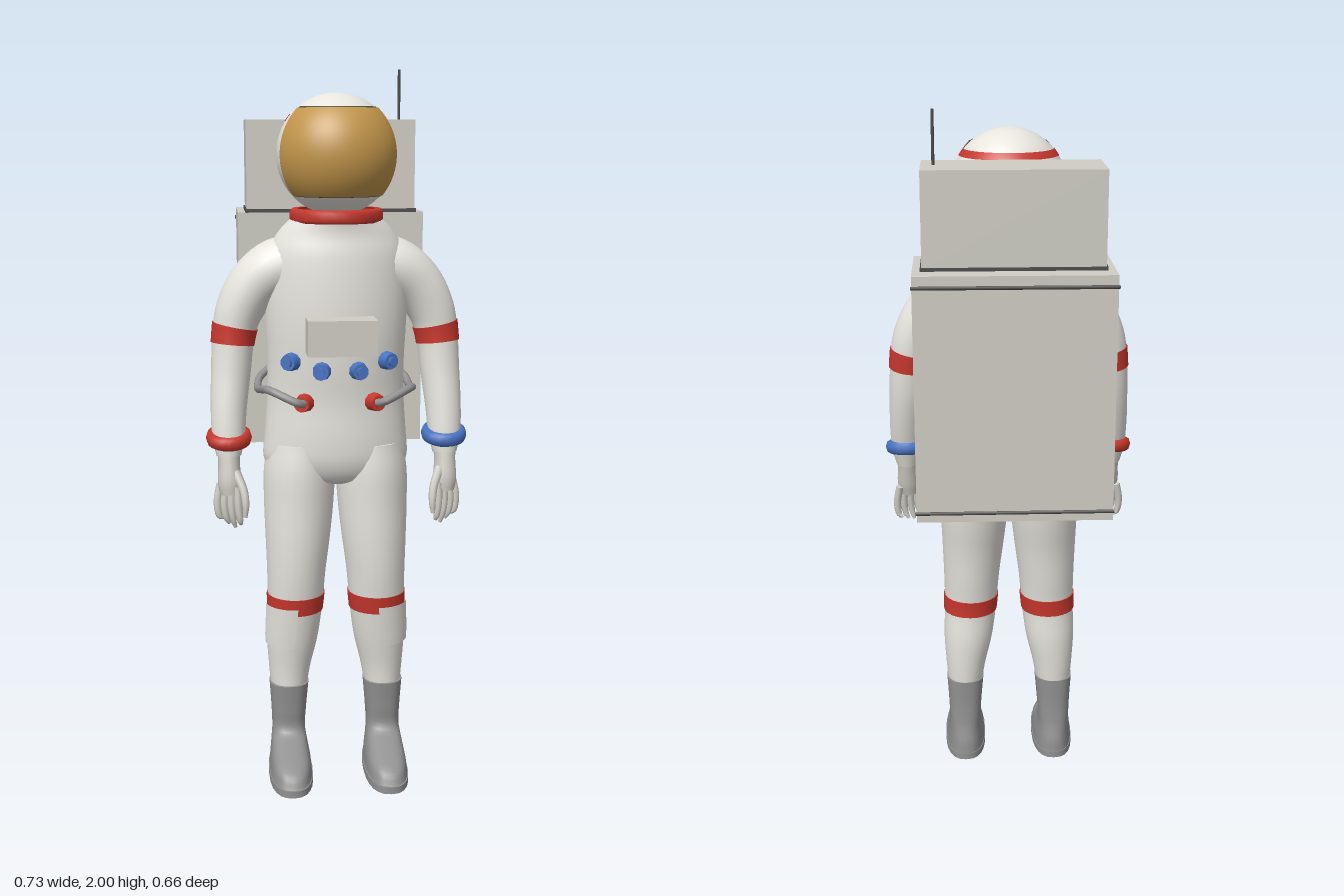
import * as THREE from 'three';

const mat = (name, color) => {
  const m = new THREE.MeshStandardMaterial({ color });
  m.name = name;
  return m;
};

// Smooth skin over elliptical sections [x, y, z, radiusX, radiusZ], listed from top to bottom.
// from/to pick a range of heights, a0/a1 a range of angles, grow swells it outwards.
function loft(sections, o = {}) {
  const { steps = 24, sides = 24, grow = 0, flat = false, pow = 1, a0 = 0, a1 = Math.PI * 2, from, to } = o;
  const path = new THREE.CatmullRomCurve3(sections.map(s => new THREE.Vector3(s[0], s[1], s[2])));
  path.curveType = 'catmullrom';
  const radii = new THREE.CatmullRomCurve3(sections.map(s => new THREE.Vector3(s[3], s[4], 0)));
  radii.curveType = 'catmullrom';
  const atHeight = y => {
    let lo = 0, hi = 1;
    for (let i = 0; i < 30; i++) {
      const mid = (lo + hi) / 2;
      if (path.getPoint(mid).y > y) lo = mid; else hi = mid;
    }
    return lo;
  };
  const t0 = from === undefined ? 0 : atHeight(from), t1 = to === undefined ? 1 : atHeight(to);
  const full = a1 - a0 > 6.28, cols = full ? sides : sides + 1;
  const pos = [], index = [];
  const soft = v => Math.sign(v) * Math.abs(v) ** pow;
  for (let i = 0; i <= steps; i++) {
    const t = t0 + (t1 - t0) * i / steps;
    const c = path.getPoint(t), r = radii.getPoint(t);
    const dir = flat ? new THREE.Vector3(0, -1, 0) : path.getTangent(t);
    const u = new THREE.Vector3(0, 0, 1).cross(dir).normalize(), v = dir.clone().cross(u);
    for (let j = 0; j < cols; j++) {
      const a = a0 + (a1 - a0) * j / sides;
      const p = c.clone().addScaledVector(u, soft(Math.cos(a)) * (r.x + grow))
        .addScaledVector(v, soft(Math.sin(a)) * (r.y + grow));
      pos.push(p.x, p.y, p.z);
    }
  }
  for (let i = 0; i < steps; i++) for (let j = 0; j < sides; j++) {
    const k = (j + 1) % cols, a = i * cols + j, b = i * cols + k;
    index.push(a, b, a + cols, b, b + cols, a + cols);
  }
  // End caps with their own vertices, so the rims stay sharp
  if (full) for (const [row, t] of [[0, t0], [steps, t1]]) {
    const base = pos.length / 3, c = path.getPoint(t);
    pos.push(...pos.slice(row * cols * 3, (row + 1) * cols * 3), c.x, c.y, c.z);
    for (let j = 0; j < cols; j++) {
      const k = (j + 1) % cols;
      index.push(base + cols, base + (row ? j : k), base + (row ? k : j));
    }
  }
  const g = new THREE.BufferGeometry();
  g.setAttribute('position', new THREE.Float32BufferAttribute(pos, 3));
  g.setIndex(index);
  g.computeVertexNormals();
  return g;
}

export function createModel() {
  const suit = mat('suit white', 0xebe9e2), pale = mat('pale grey', 0xcfcdc4), red = mat('red', 0xc8382e),
    blue = mat('blue', 0x4a74c4), gold = mat('visor gold', 0xc2954a), grey = mat('boot grey', 0x929292),
    dark = mat('dark grey', 0x4c4c4c);
  gold.side = dark.side = red.side = THREE.DoubleSide;
  const root = new THREE.Group();
  root.name = 'astronaut';
  const add = (name, geo, m, x = 0, y = 0, z = 0) => {
    const mesh = new THREE.Mesh(geo, m);
    mesh.name = name;
    mesh.position.set(x, y, z);
    root.add(mesh);
    return mesh;
  };
  const box = (name, m, x0, x1, y0, y1, z0, z1) => add(name, new THREE.BoxGeometry(x1 - x0, y1 - y0, z1 - z0), m,
    (x0 + x1) / 2, (y0 + y1) / 2, (z0 + z1) / 2);

  // Torso
  add('torso', loft([
    [0, 1.61, .11, .112, .112], [0, 1.56, .1, .16, .118], [0, 1.5, .098, .188, .13], [0, 1.4, .095, .198, .139],
    [0, 1.3, .095, .195, .139], [0, 1.2, .09, .191, .136], [0, 1.1, .085, .193, .13], [0, 1, .085, .2, .13],
    [0, .93, .083, .203, .125], [0, .88, .083, .17, .1], [0, .86, .083, .1, .06]],
  { flat: true, steps: 40, sides: 36 }), suit);

  // Helmet, visor, stripe and neck ring
  const rad = THREE.MathUtils.degToRad;
  const patch = (r, mid, half, top, bottom) => new THREE.SphereGeometry(r, 40, 24,
    rad(mid - half), rad(half * 2), rad(top), rad(bottom - top));
  const head = [0, 1.768, .107];
  add('helmet', new THREE.SphereGeometry(.162, 40, 28), suit, ...head);
  add('visorFrame', patch(.1655, 90, 69, 41, 131.5), dark, ...head);
  add('visor', patch(.168, 90, 68, 43.5, 130), gold, ...head);
  add('helmetStripe', patch(.1635, 270, 95, 50, 58), red, ...head);
  add('neckRing', new THREE.LatheGeometry([[.105, -.018], [.121, -.018], [.127, -.01], [.127, .01], [.121, .018],
    [.105, .018]].map(p => new THREE.Vector2(...p)), 32), red, 0, 1.607, .11);

  // Backpack
  box('packBody', pale, -.263, .263, .94, 1.605, -.325, -.052);
  box('packTop', pale, -.238, .238, 1.61, 1.86, -.26, -.053);
  box('packSeam', dark, -.242, .242, 1.604, 1.614, -.263, -.05);
  for (const y of [1.575, .965])
    add('packBar', new THREE.CylinderGeometry(.005, .005, .532, 8).rotateZ(Math.PI / 2), dark, 0, y, -.326);
  add('antenna', new THREE.CylinderGeometry(.004, .004, .14, 8), dark, .205, 1.93, -.157);

  // Chest box
  box('chestBox', pale, -.093, .091, 1.25, 1.345, .215, .313);

  // Connectors around the chest
  const knob = (name, m, x, y, z) => {
    const k = add(name, new THREE.CylinderGeometry(.022, .028, .045, 10).rotateX(Math.PI / 2), m, x, y, z);
    k.rotation.y = x * 4;
    const cap = new THREE.Mesh(new THREE.CylinderGeometry(.013, .013, .012, 8).rotateX(Math.PI / 2), m);
    cap.name = name + 'Cap';
    cap.position.z = .026;
    k.add(cap);
  };

  for (const s of [1, -1]) {
    const side = s > 0 ? 'left' : 'right';
    const mirror = list => list.map(([x, ...rest]) => [x * s, ...rest]);

    knob(side + 'OuterConnector', blue, s * .13, 1.22, .198);
    knob(side + 'InnerConnector', blue, s * .05, 1.197, .225);
    knob(side + 'HoseConnector', red, s * .097, 1.107, .207);
    const hose = new THREE.CatmullRomCurve3(mirror([[.1, 1.11, .235], [.115, 1.115, .25], [.19, 1.145, .215],
      [.21, 1.13, .12], [.216, 1.12, .03], [.208, 1.14, -.02], [.165, 1.17, -.06]])
      .map(p => new THREE.Vector3(...p)));
    add(side + 'Hose', new THREE.TubeGeometry(hose, 28, .011, 8), grey);

    // Arm with band and cuff
    const arm = mirror([[.09, 1.48, .09, .08, .09], [.165, 1.462, .09, .08, .088], [.225, 1.415, .088, .074, .078],
      [.265, 1.35, .088, .066, .07], [.283, 1.28, .09, .059, .064], [.292, 1.18, .1, .055, .06],
      [.3, 1.08, .12, .05, .053], [.302, 1, .137, .045, .045], [.302, .95, .145, .034, .038]]);
    add(side + 'Arm', loft(arm, { steps: 36 }), suit);
    add(side + 'ArmBand', loft(arm, { from: 1.305, to: 1.255, grow: .003, steps: 4 }), red);
    const cuff = add(side + 'Cuff', new THREE.TorusGeometry(.049, .015, 8, 20).scale(1, 1, 1.4).rotateX(Math.PI / 2),
      s > 0 ? blue : red, s * .301, 1, .135);
    cuff.rotation.x = .22;

    // Glove
    add(side + 'Palm', loft(mirror([[.302, .985, .14, .034, .034], [.302, .93, .152, .03, .036],
      [.301, .88, .163, .033, .036], [.299, .845, .168, .028, .03]]), { steps: 12, sides: 16 }), pale);
    for (let i = 0; i < 4; i++) {
      const x = .279 + i * .016, z = .188 - i * .016, tip = .75 + Math.abs(i - 1.2) * .012;
      add(side + 'Finger', loft(mirror([[x, .87, z, .011, .011], [x + i * .003, .82, z + .006, .011, .011],
        [x + i * .003 - .004, .78, z + .008, .009, .009], [x - .008, tip, z + .004, .005, .005]]),
      { steps: 10, sides: 8 }), pale);
    }
    add(side + 'Thumb', loft(mirror([[.285, .91, .175, .014, .014], [.265, .865, .198, .012, .012],
      [.259, .825, .212, .01, .01], [.261, .79, .215, .006, .006]]), { steps: 10, sides: 8 }), pale);

    // Leg with knee band and outer pad
    const leg = mirror([[.098, .98, .083, .09, .115], [.102, .9, .083, .101, .123], [.105, .8, .09, .099, .115],
      [.109, .7, .1, .092, .104], [.114, .6, .104, .084, .094], [.118, .5, .104, .079, .081],
      [.126, .4, .095, .074, .075], [.134, .31, .09, .061, .065], [.137, .24, .09, .052, .059]]);
    add(side + 'Leg', loft(leg, { steps: 36, flat: true }), suit);
    add(side + 'KneeBand', loft(leg, { from: .535, to: .485, grow: .003, steps: 4, flat: true }), red);
    const [a, b] = [rad(10), rad(92)];
    add(side + 'ShinPad', loft(leg, { from: .507, to: .385, grow: .007, steps: 8, sides: 10, flat: true,
      a0: s > 0 ? a : Math.PI - b, a1: s > 0 ? b : Math.PI - a }), suit);

    // Boot and sole
    add(side + 'Boot', loft(mirror([[.137, .26, .092, .057, .063], [.138, .18, .089, .051, .058],
      [.139, .12, .088, .048, .06], [.139, .09, .115, .051, .092], [.138, .055, .155, .057, .14],
      [.138, .018, .167, .061, .155]]), { flat: true, pow: .8, steps: 24 }), grey);
    add(side + 'Sole', loft(mirror([[.138, .02, .168, .063, .158], [.138, 0, .168, .063, .158]]),
      { flat: true, pow: .8, steps: 2 }), grey);
  }
  return root;
}
